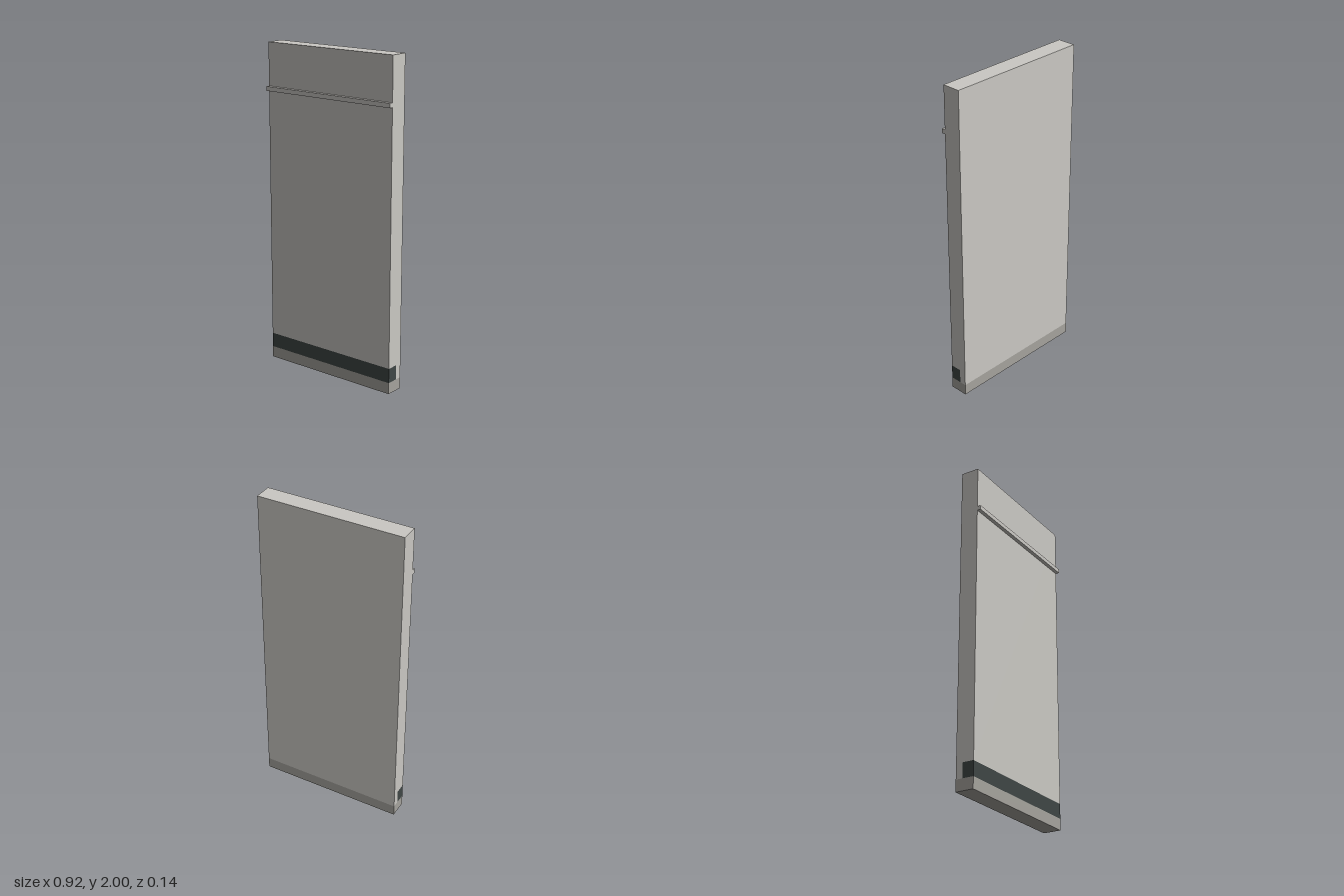
import * as THREE from 'three';

const WIDTH = 0.918;
const BACK = -0.068, FACE = 0.045, FRONT = 0.068;

export function createModel() {
  const model = new THREE.Group();
  model.name = 'panel';

  const material = (name, color) => {
    const m = new THREE.MeshStandardMaterial({ color });
    m.name = name;
    return m;
  };
  const lightGrey = material('lightGrey', 0xcac8c3);
  const midGrey = material('midGrey', 0xa5a39d);
  const charcoal = material('charcoal', 0x3f4645);

  // Full-width bar between two heights and two depths
  const bar = (name, mat, y0, y1, z0, z1) => {
    const mesh = new THREE.Mesh(new THREE.BoxGeometry(WIDTH, y1 - y0, z1 - z0), mat);
    mesh.position.set(0, (y0 + y1) / 2, (z0 + z1) / 2);
    mesh.name = name;
    model.add(mesh);
  };

  // Side profile of the slab (z, y), notched at the lower front for the dark strip
  const profile = new THREE.Shape([
    [BACK, 0.07], [-0.025, 0.07], [-0.025, 0.16],
    [FACE, 0.16], [FACE, 2], [BACK, 2],
  ].map(([z, y]) => new THREE.Vector2(-z, y)));
  const slabGeometry = new THREE.ExtrudeGeometry(profile, { depth: WIDTH, bevelEnabled: false });
  slabGeometry.translate(0, 0, -WIDTH / 2).rotateY(Math.PI / 2);
  const slab = new THREE.Mesh(slabGeometry, lightGrey);
  slab.name = 'slab';
  model.add(slab);

  bar('basePlinth', midGrey, 0, 0.07, BACK, FACE);
  bar('darkStrip', charcoal, 0.07, 0.16, -0.025, FACE);
  bar('frontRail', lightGrey, 1.71, 1.737, FACE, FRONT);

  return model;
}
